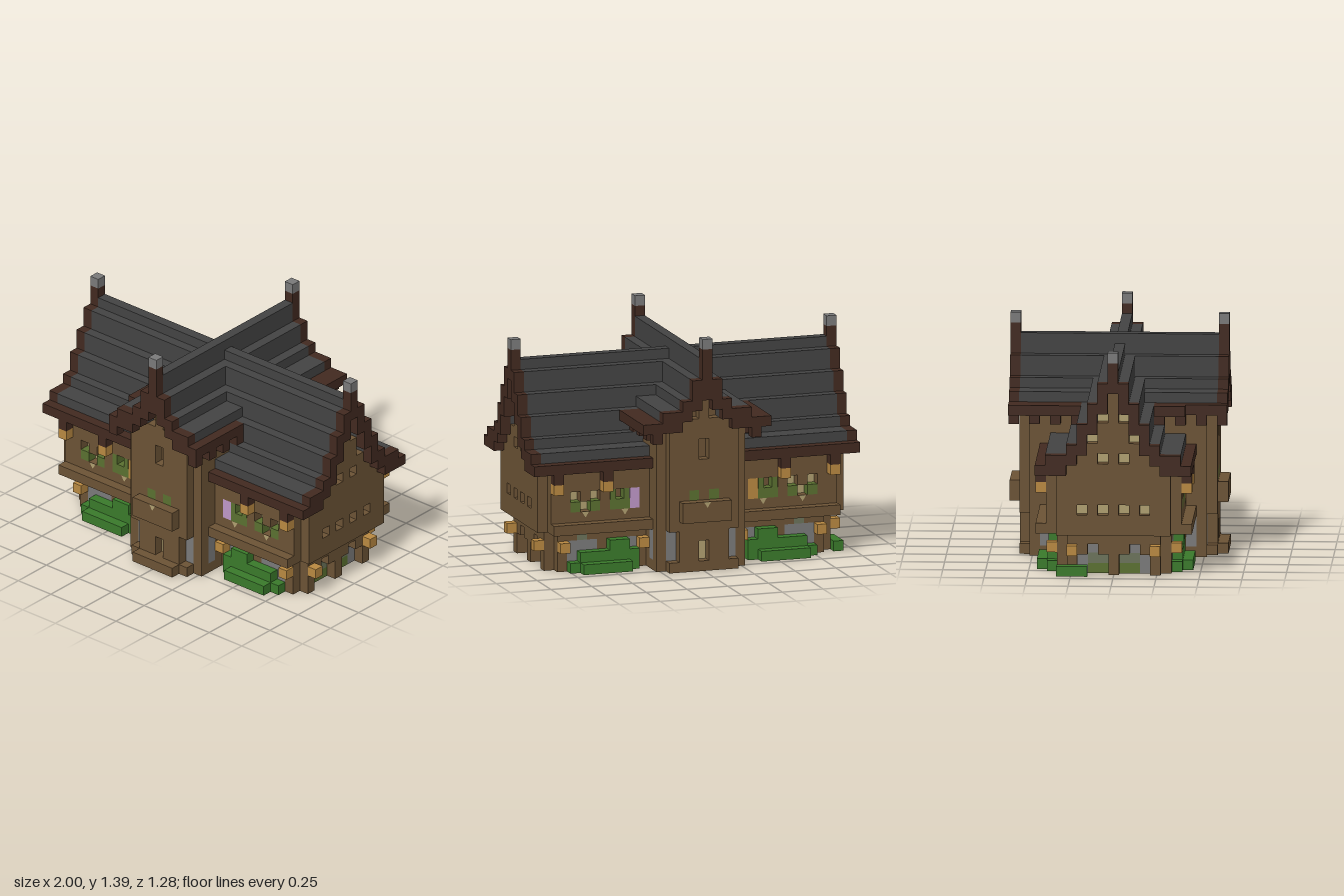
import * as THREE from 'three';

const U = 2 / 33; // size of one block
const mat = (name, color) => Object.assign(new THREE.MeshStandardMaterial({ color }), { name });
const COLORS = {
  timber: 0x6c5335, trim: 0x422a20, slate: 0x434343, stone: 0x7a7a7a, plaster: 0xb0a070,
  lamp: 0xb98941, blossom: 0xbf98c8, hedge: 0x3a7a2b, foliage: 0x5a7030, moss: 0x6b735a,
};
// part name -> colour name
const PARTS = {
  walls: 'timber', balconies: 'timber', interior: 'plaster', roof: 'slate', roofTrim: 'trim',
  gableTips: 'stone', stoneInfill: 'stone', mossyStone: 'moss', lanterns: 'lamp',
  flowers: 'blossom', hedges: 'hedge', planters: 'foliage',
};
// roof sections: top and underside of each course, counted from the ridge
const MAIN_TOP = [20, 19, 17, 15, 13, 12, 12, 11], MAIN_LOW = [18, 16, 14, 12, 11, 10, 10, 10];
const CROSS_TOP = [21, 19, 17, 16, 16, 15], CROSS_LOW = [17, 16, 15, 14, 14, 13];

// Outer faces of all blocks belonging to one part
function blockGeometry(cells, part) {
  const pos = [], nor = [], idx = [];
  const signs = [[-1, -1], [1, -1], [1, 1], [-1, 1]];
  for (const [key, p] of cells) {
    if (p !== part) continue;
    const c = key.split(',').map(Number);
    for (let a = 0; a < 3; a++) for (const s of [-1, 1]) {
      const n = [...c];
      n[a] += s;
      if (cells.has(n.join())) continue;
      const start = pos.length / 3, dir = [0, 0, 0];
      dir[a] = s;
      for (const [p1, p2] of signs) {
        const v = [c[0], c[1] + 0.5, c[2]];
        v[a] += s / 2;
        v[(a + 1) % 3] += p1 / 2;
        v[(a + 2) % 3] += p2 / 2;
        pos.push(v[0] * U, v[1] * U, v[2] * U);
        nor.push(...dir);
      }
      const order = s > 0 ? [0, 1, 2, 0, 2, 3] : [0, 2, 1, 0, 3, 2];
      idx.push(...order.map(i => start + i));
    }
  }
  const g = new THREE.BufferGeometry();
  g.setAttribute('position', new THREE.Float32BufferAttribute(pos, 3));
  g.setAttribute('normal', new THREE.Float32BufferAttribute(nor, 3));
  g.setIndex(idx);
  return g;
}

export function createModel() {
  const cells = new Map();
  // fill (or clear, with a null part) an inclusive range of blocks
  const fill = (part, x0, x1, y0, y1, z0, z1) => {
    for (let x = x0; x <= x1; x++) for (let y = y0; y <= y1; y++) for (let z = z0; z <= z1; z++) {
      const k = [x, y, z].join();
      if (part) cells.set(k, part); else cells.delete(k);
    }
  };
  const mirrorX = (part, x0, x1, ...r) => { fill(part, x0, x1, ...r); fill(part, -x1, -x0, ...r); };
  const mirrorZ = (part, x0, x1, y0, y1, z0, z1) => {
    fill(part, x0, x1, y0, y1, z0, z1);
    fill(part, x0, x1, y0, y1, -z1, -z0);
  };
  const mirror4 = (part, x0, x1, y0, y1, z0, z1) => {
    mirrorX(part, x0, x1, y0, y1, z0, z1);
    mirrorX(part, x0, x1, y0, y1, -z1, -z0);
  };

  // Main wing with notched corners: ground floor, jettied upper floor, roof along x
  fill('walls', -13, 13, 0, 3, -5, 5);
  mirrorX('walls', 14, 14, 0, 3, -4, 4);
  for (let k = 0; k <= 7; k++) {
    const low = MAIN_LOW[k], top = MAIN_TOP[k] - 1, end = k === 6 ? 14 : 15;
    if (k <= 6) mirrorZ('walls', -end, end, 4, low - 1, k, k);
    if (k <= 5) mirrorZ('interior', -14, 14, 4, low - 1, k, k);
    mirrorZ(k === 7 ? 'roofTrim' : 'roof', -15, 15, low, top, k, k);
    mirror4('roofTrim', 16, 16, low, top, k, k);
  }
  mirrorX('roofTrim', 16, 16, 18, 20, 0, 0);
  mirrorX('gableTips', 16, 16, 21, 21, 0, 0);

  // Cross wing with notched corners: tall walls and roof along z
  fill('walls', -3, 3, 0, 3, -9, 9);
  mirrorX('walls', 4, 4, 0, 3, -8, 8);
  for (let k = 0; k <= 4; k++) {
    const end = k === 4 ? 8 : 9;
    mirrorX('walls', k, k, 4, CROSS_LOW[k] - 1, -end, end);
    if (k < 4) mirrorX('interior', k, k, 4, CROSS_LOW[k] - 1, -8, 8);
  }
  for (let k = 0; k <= 4; k++) {
    mirrorX('roof', k, k, CROSS_LOW[k], CROSS_TOP[k] - 1, -9, 9);
    mirror4('roofTrim', k, k, CROSS_LOW[k], CROSS_TOP[k] - 1, 10, 10);
  }
  mirror4('roofTrim', 5, 5, 14, 14, 4, 10);
  for (const z of [4, 6, 8, 10]) mirror4('roofTrim', 5, 5, 13, 13, z, z);
  mirrorX('roofTrim', 6, 6, 14, 14, -10, -4);
  fill('roofTrim', -6, -6, 14, 14, 4, 6);
  mirrorZ('roofTrim', 0, 0, 17, 21, 10, 10);
  mirrorZ('gableTips', 0, 0, 22, 22, 10, 10);

  // Hollow rooms, leaving a plaster lining upstairs
  fill(null, -13, 13, 0, 9, -4, 4);
  fill(null, -3, 3, 0, 3, -8, 8);
  fill(null, -2, 2, 4, 9, -7, 7);

  // Stone set back between the end posts
  mirror4(null, 14, 14, 0, 1, 1, 3);
  mirror4(null, 14, 14, 2, 2, 2, 2);
  mirror4('stoneInfill', 13, 13, 0, 2, 1, 3);
  mirror4('planters', 13, 13, 0, 0, 1, 2);
  mirror4('mossyStone', 13, 13, 1, 1, 1, 2);
  // Stone in the long walls and beside the cross wing corners
  mirror4('stoneInfill', 6, 8, 0, 2, 5, 5);
  mirror4('stoneInfill', 10, 12, 0, 2, 5, 5);
  mirror4('mossyStone', 11, 11, 3, 3, 5, 5);
  mirror4(null, 3, 3, 1, 3, 9, 9);
  mirror4('stoneInfill', 3, 3, 1, 3, 8, 8);
  mirror4('stoneInfill', 4, 4, 1, 3, 7, 7);

  // Doorways, tall slots and top openings in the cross wing
  mirrorZ(null, 0, 0, 1, 2, 9, 9);
  mirrorZ('interior', 0, 0, 1, 2, 8, 8);
  mirrorZ(null, 0, 0, 11, 12, 9, 9);
  mirrorZ('walls', 0, 0, 11, 12, 8, 8);
  mirror4(null, 1, 1, 15, 15, 9, 9);
  mirror4('walls', 1, 1, 15, 15, 8, 8);

  // Window openings in the side gables
  for (const [y, z] of [[6, 1], [6, 3], [11, 1], [13, 2], [15, 1]]) mirror4(null, 15, 15, y, y, z, z);

  // Upper windows of the main wing, with planters and flowers
  mirror4(null, 10, 12, 6, 7, 6, 6);
  mirror4('walls', 11, 11, 7, 7, 6, 6);
  mirror4('planters', 10, 10, 6, 6, 6, 6);
  mirror4('planters', 12, 12, 6, 6, 6, 6);
  mirror4(null, 7, 8, 7, 7, 6, 6);
  mirror4('walls', 7, 8, 7, 7, 5, 5);
  mirror4('planters', 7, 8, 6, 6, 6, 6);
  mirrorZ('flowers', 6, 6, 6, 7, 6, 6);
  mirrorZ('lanterns', -6, -6, 6, 7, 6, 6);

  // Balconies, front step and plants in the windows above the ledge
  mirror4('balconies', 5, 14, 4, 4, 7, 7);
  mirrorZ('balconies', -2, 2, 5, 6, 10, 10);
  fill('balconies', -2, 2, 0, 0, 10, 10);
  mirror4('planters', 1, 1, 7, 7, 9, 9);

  // Lanterns under the eaves and on the posts
  for (const x of [9, 14]) {
    mirror4('roofTrim', x, x, 9, 9, 7, 7);
    mirror4('lanterns', x, x, 8, 8, 7, 7);
  }
  for (const x of [5, 13]) mirror4('lanterns', x, x, 2, 2, 6, 6);
  mirror4('lanterns', 15, 15, 2, 2, 4, 4);

  // Hedges
  mirror4('hedges', 6, 12, 0, 0, 6, 6);
  mirror4('hedges', 7, 11, 0, 0, 7, 7);
  mirror4('hedges', 6, 11, 1, 1, 6, 6);
  mirror4('hedges', 7, 8, 2, 2, 6, 6);
  fill('hedges', -15, -15, 0, 0, -5, -3);

  const group = new THREE.Group();
  group.name = 'timberHouse';
  const materials = {};
  for (const [name, color] of Object.entries(COLORS)) materials[name] = mat(name, color);
  for (const [part, color] of Object.entries(PARTS)) {
    const mesh = new THREE.Mesh(blockGeometry(cells, part), materials[color]);
    mesh.name = part;
    group.add(mesh);
  }

  // Small plaster points below the windows, and leaves above the planters
  const point = new THREE.ShapeGeometry(new THREE.Shape([
    new THREE.Vector2(0, -0.035), new THREE.Vector2(0.022, 0), new THREE.Vector2(-0.022, 0)]));
  const leaf = new THREE.BoxGeometry(0.034, U, U);
  for (const side of [1, -1]) {
    const add = (name, geometry, material, x, y, z) => {
      const mesh = new THREE.Mesh(geometry, material);
      mesh.name = name;
      mesh.position.set(x * U, y * U, side * z);
      mesh.rotation.y = side > 0 ? 0 : Math.PI;
      group.add(mesh);
    };
    for (const x of [-11, -7, 7, 11]) add('windowPoint', point, materials.plaster, x, 6, 6.5 * U + 0.003);
    add('windowPoint', point, materials.plaster, 0, 7, 10.5 * U + 0.003);
    for (const x of [-8.2, -6.8, 6.8, 8.2]) add('leaf', leaf, materials.foliage, x, 7.5, 6 * U);
  }
  return group;
}
